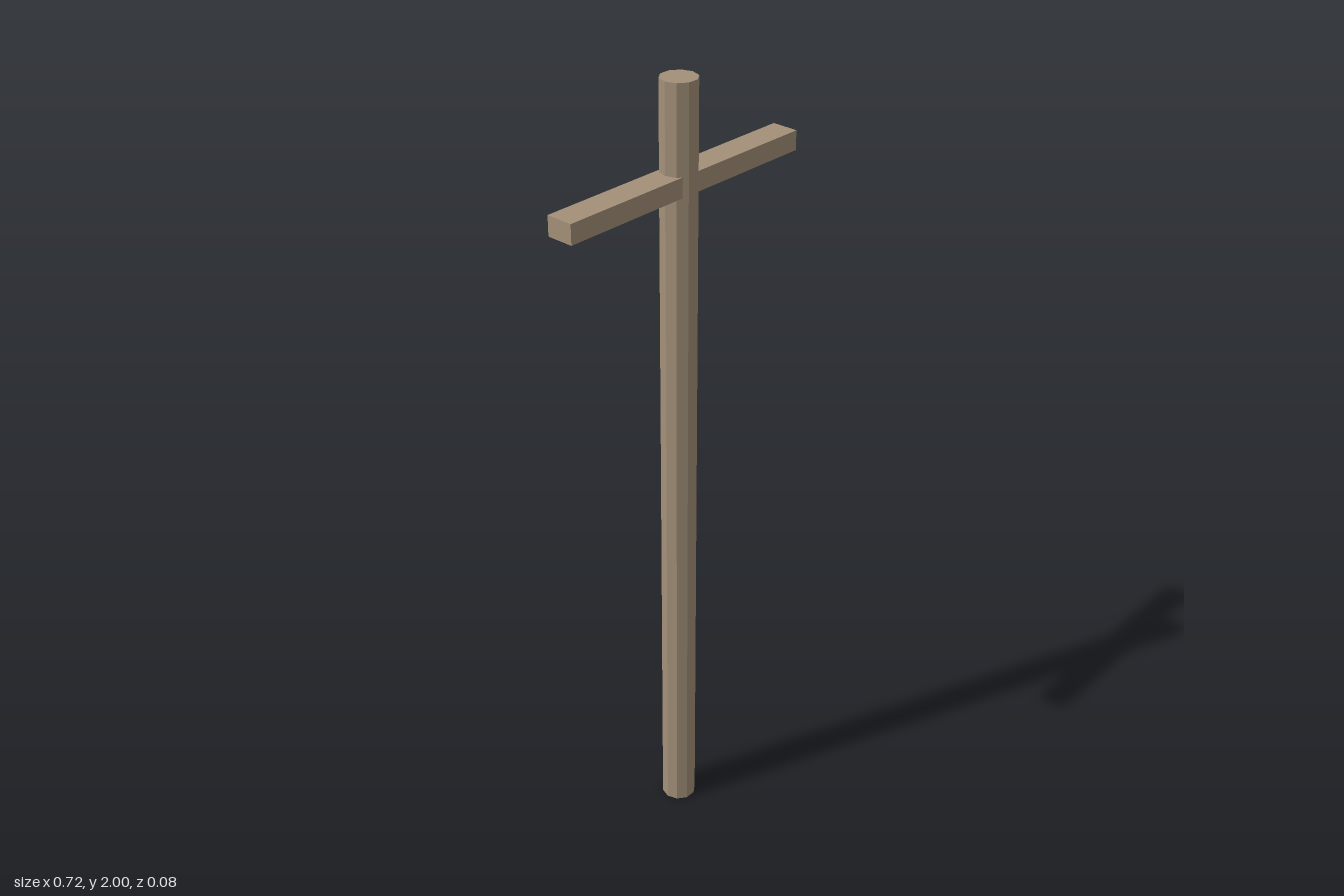
import * as THREE from 'three';

export function createModel() {
  const model = new THREE.Group();
  model.name = 'utilityPole';
  const wood = new THREE.MeshStandardMaterial({ color: 0xa39078, flatShading: true });
  wood.name = 'weathered wood';

  const add = (name, geometry, y) => {
    const mesh = new THREE.Mesh(geometry, wood);
    mesh.name = name;
    mesh.position.y = y;
    model.add(mesh);
  };

  // Ten-sided upright, with corners at the left and right and flats front and back
  add('pole', new THREE.CylinderGeometry(0.044, 0.044, 2, 10, 1, false, Math.PI / 2), 1);

  // Crossarm set through the pole
  add('crossarm', new THREE.BoxGeometry(0.72, 0.048, 0.068), 1.766);

  return model;
}
